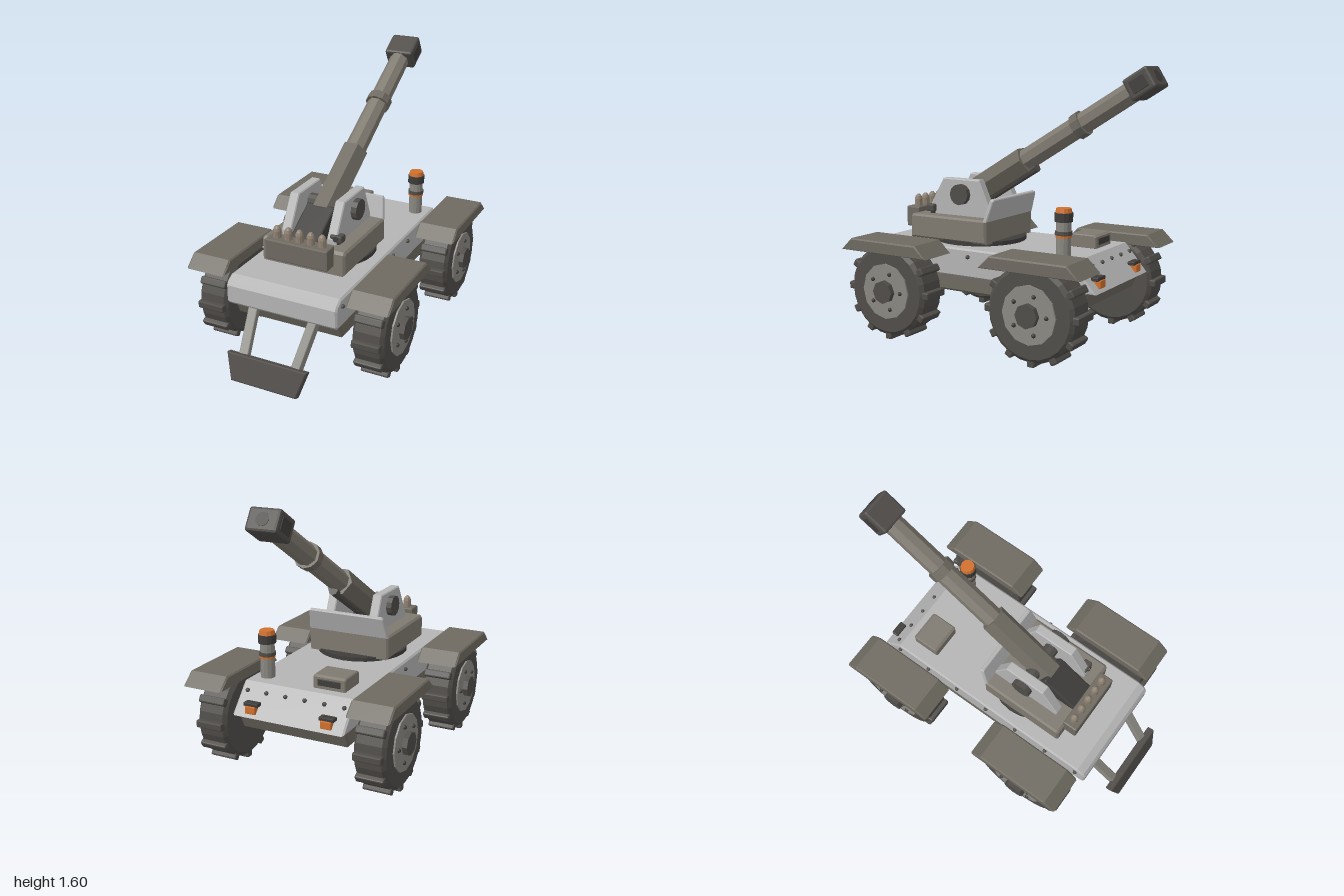
import * as THREE from 'three';
import { RoundedBoxGeometry } from 'three/addons/geometries/RoundedBoxGeometry.js';

const mat = (color) => new THREE.MeshStandardMaterial({ color, flatShading: true });
const light = mat(0xb4b4b4), steel = mat(0x8a8881), olive = mat(0x6e6a61),
  drab = mat(0x7f7a70), dark = mat(0x504d49), black = mat(0x3e3d3b),
  brass = mat(0x8f8272), orange = mat(0xd0702c);

export function createModel() {
  const model = new THREE.Group();

  function add(parent, name, geometry, material, x = 0, y = 0, z = 0) {
    const mesh = new THREE.Mesh(geometry, material);
    mesh.name = name;
    mesh.position.set(x, y, z);
    parent.add(mesh);
    return mesh;
  }
  const box = (w, h, d, r = 0.008) => new RoundedBoxGeometry(w, h, d, 1, r);
  const cyl = (r0, r1, h, n, start = 0) => new THREE.CylinderGeometry(r1, r0, h, n, 1, false, start);
  const cylX = (r, h, n) => cyl(r, r, h, n).rotateZ(-Math.PI / 2);

  // Outline extruded along z, centred, with a small bevel inside the outline
  function slab(points, depth, bevel) {
    const shape = new THREE.Shape(points.map(([a, b]) => new THREE.Vector2(a, b)));
    const geometry = new THREE.ExtrudeGeometry(shape, {
      depth: depth - 2 * bevel, bevelEnabled: true, bevelSegments: 1,
      bevelSize: bevel, bevelThickness: bevel, bevelOffset: -bevel,
    });
    return geometry.translate(0, 0, bevel - depth / 2);
  }
  // Side outline given as [z, y], extruded across x
  const slabX = (points, width, bevel) => slab(points, width, bevel).rotateY(-Math.PI / 2);

  // Hull
  add(model, 'upperHull', slabX([[-0.79, 0.38], [0.76, 0.375], [0.78, 0.395], [0.78, 0.495],
    [0.765, 0.52], [0.72, 0.545], [-0.65, 0.545]], 0.695, 0.01), light);
  add(model, 'lowerHull', slabX([[-0.7, 0.282], [0.68, 0.282], [0.73, 0.39], [-0.75, 0.39]], 0.68, 0.012), olive);
  const bolt = new THREE.IcosahedronGeometry(0.013, 1);
  for (let i = 0; i < 7; i++)
    for (const s of [-1, 1]) add(model, 'hullBolt', bolt, dark, s * 0.352, 0.5, -0.645 + i * 0.226);
  for (let i = 0; i < 6; i++) add(model, 'rearBolt', bolt, dark, -0.305 + i * 0.122, 0.502, -0.69);

  // Rear lamps under small visors
  for (const s of [-1, 1]) {
    add(model, 'lampVisor', box(0.09, 0.022, 0.045, 0.004), black, s * 0.237, 0.452, -0.753);
    add(model, 'rearLamp', box(0.065, 0.045, 0.04, 0.004), orange, s * 0.237, 0.422, -0.763);
  }

  // Rear deck housing with a dark slot
  add(model, 'deckHousing', slabX([[-0.59, 0.54], [-0.415, 0.54], [-0.415, 0.612], [-0.43, 0.622],
    [-0.575, 0.622], [-0.59, 0.612]], 0.2, 0.006), drab, -0.16);
  add(model, 'housingSlot', box(0.14, 0.038, 0.012, 0.003), black, -0.16, 0.582, -0.588);

  // Beacon post
  const beacon = new THREE.Group();
  beacon.name = 'beacon';
  beacon.position.set(0.257, 0.54, -0.547);
  model.add(beacon);
  add(beacon, 'beaconPost', cyl(0.042, 0.042, 0.22, 12), steel, 0, 0.11);
  add(beacon, 'beaconBand', cyl(0.046, 0.046, 0.014, 12), orange, 0, 0.128);
  add(beacon, 'beaconCollar', cyl(0.049, 0.049, 0.022, 12), dark, 0, 0.146);
  add(beacon, 'beaconHead', cyl(0.052, 0.052, 0.05, 12), black, 0, 0.235);
  add(beacon, 'beaconCap', cyl(0.048, 0.042, 0.026, 12), orange, 0, 0.272);

  // Wheels, axles and fenders
  const tire = new THREE.LatheGeometry([[0, -0.095], [0.245, -0.095], [0.268, -0.075],
    [0.268, 0.075], [0.245, 0.095], [0, 0.095]].map((p) => new THREE.Vector2(...p)), 24).rotateZ(-Math.PI / 2);
  const lug = box(0.17, 0.05, 0.045);
  const fender = slabX([[-0.31, 0.52], [0.31, 0.52], [0.235, 0.593], [-0.235, 0.593]], 0.25, 0.008);
  for (const z of [0.447, -0.525]) {
    add(model, 'axle', cylX(0.042, 0.84, 10), black, 0, 0.293, z);
    for (const s of [-1, 1]) {
      const wheel = new THREE.Group();
      wheel.name = 'wheel';
      wheel.position.set(s * 0.495, 0.293, z);
      model.add(wheel);
      add(wheel, 'tire', tire, dark);
      add(wheel, 'hub', cylX(0.165, 0.03, 12), steel, s * 0.09);
      add(wheel, 'hubCap', cylX(0.068, 0.06, 8), dark, s * 0.105);
      for (let i = 0; i < 12; i++) {
        const a = i * Math.PI / 6;
        add(wheel, 'treadLug', lug, dark, 0, 0.268 * Math.cos(a), 0.268 * Math.sin(a)).rotation.x = a;
      }
      for (let i = 0; i < 5; i++) {
        const a = i * Math.PI * 0.4;
        add(wheel, 'wheelBolt', bolt, black, s * 0.106, 0.11 * Math.sin(a), -0.11 * Math.cos(a));
      }
      add(model, 'fender', fender, olive, s * 0.51, 0, z - 0.008);
    }
  }

  // Front spade on two struts
  for (const s of [-1, 1]) {
    const top = new THREE.Vector3(s * 0.192, 0.385, 0.73), end = new THREE.Vector3(s * 0.16, 0.11, 0.935);
    const strut = add(model, 'spadeStrut', box(0.056, 0.048, top.distanceTo(end), 0.006), steel);
    strut.position.copy(top).lerp(end, 0.5);
    strut.lookAt(end);
  }
  const spade = add(model, 'spade', slab([[-0.205, -0.078], [0.205, -0.078], [0.25, 0.078], [-0.25, 0.078]],
    0.048, 0.006), dark, 0, 0.102, 0.95);
  spade.rotation.x = -0.29;

  // Turret base
  add(model, 'turntable', cyl(0.28, 0.28, 0.03, 24), black, 0, 0.555, 0.17);
  add(model, 'turretBase', slabX([[-0.035, 0.56], [0.515, 0.56], [0.515, 0.69], [0.5, 0.705], [-0.035, 0.705]],
    0.53, 0.012), drab);
  const shield = add(model, 'rearShield', slab([[-0.262, -0.07], [0.262, -0.07], [0.245, 0.06], [0.235, 0.07],
    [-0.235, 0.07], [-0.245, 0.06]], 0.026, 0.005), light, 0, 0.763, -0.045);
  shield.rotation.x = -0.3;
  for (const s of [-1, 1]) {
    add(model, 'trunnionCheek', slabX([[-0.02, 0.695], [0.44, 0.695], [0.44, 0.735], [0.33, 0.927],
      [0.07, 0.927], [-0.015, 0.735]], 0.06, 0.006), light, s * 0.146);
    add(model, 'trunnionCap', cylX(0.063, 0.05, 12), dark, s * 0.185, 0.836, 0.194);
  }
  add(model, 'trunnionShaft', cylX(0.045, 0.26, 10), dark, 0, 0.836, 0.194);

  // Small sight on the turret
  add(model, 'sight', box(0.075, 0.045, 0.055), dark, 0.17, 0.74, 0.41);
  add(model, 'sightStem', cyl(0.02, 0.02, 0.04, 8), black, 0.17, 0.71, 0.41);
  add(model, 'sightLens', cyl(0.016, 0.016, 0.012, 8).rotateX(Math.PI / 2), black, 0.17, 0.742, 0.438);

  // Shell rack
  add(model, 'shellRack', box(0.395, 0.125, 0.095), olive, 0, 0.675, 0.548);
  const shell = new THREE.LatheGeometry([[0.024, 0], [0.024, 0.045], [0.019, 0.062], [0.009, 0.074], [0, 0.076]]
    .map((p) => new THREE.Vector2(...p)), 10);
  for (let i = -2; i <= 2; i++) add(model, 'shell', shell, brass, i * 0.0715, 0.734, 0.545);

  // Gun: local +y runs along the barrel, local +z is its upper side
  const gun = new THREE.Group();
  gun.name = 'gun';
  gun.position.set(0, 0.836, 0.194);
  gun.rotation.x = -1.024;
  model.add(gun);
  add(gun, 'breech', box(0.18, 0.27, 0.14, 0.01), black, 0, -0.195, 0);
  add(gun, 'barrelSleeve', cyl(0.087, 0.087, 0.49, 6, Math.PI / 6), olive, 0, 0.165, 0);
  add(gun, 'recoilCylinder', cyl(0.03, 0.03, 0.48, 8), dark, 0, 0.21, -0.07);
  add(gun, 'barrel', cyl(0.066, 0.062, 0.86, 8, Math.PI / 8), drab, 0, 0.8, 0);
  add(gun, 'barrelRing', cyl(0.078, 0.078, 0.055, 10), olive, 0, 0.826, 0);
  add(gun, 'muzzleBrake', box(0.185, 0.165, 0.132, 0.014), dark, 0, 1.284, 0);
  for (const s of [-1, 1]) add(gun, 'brakePort', box(0.01, 0.1, 0.075, 0.003), black, s * 0.09, 1.284, 0);
  add(gun, 'bore', cyl(0.038, 0.038, 0.01, 12), black, 0, 1.364, 0);

  return model;
}
